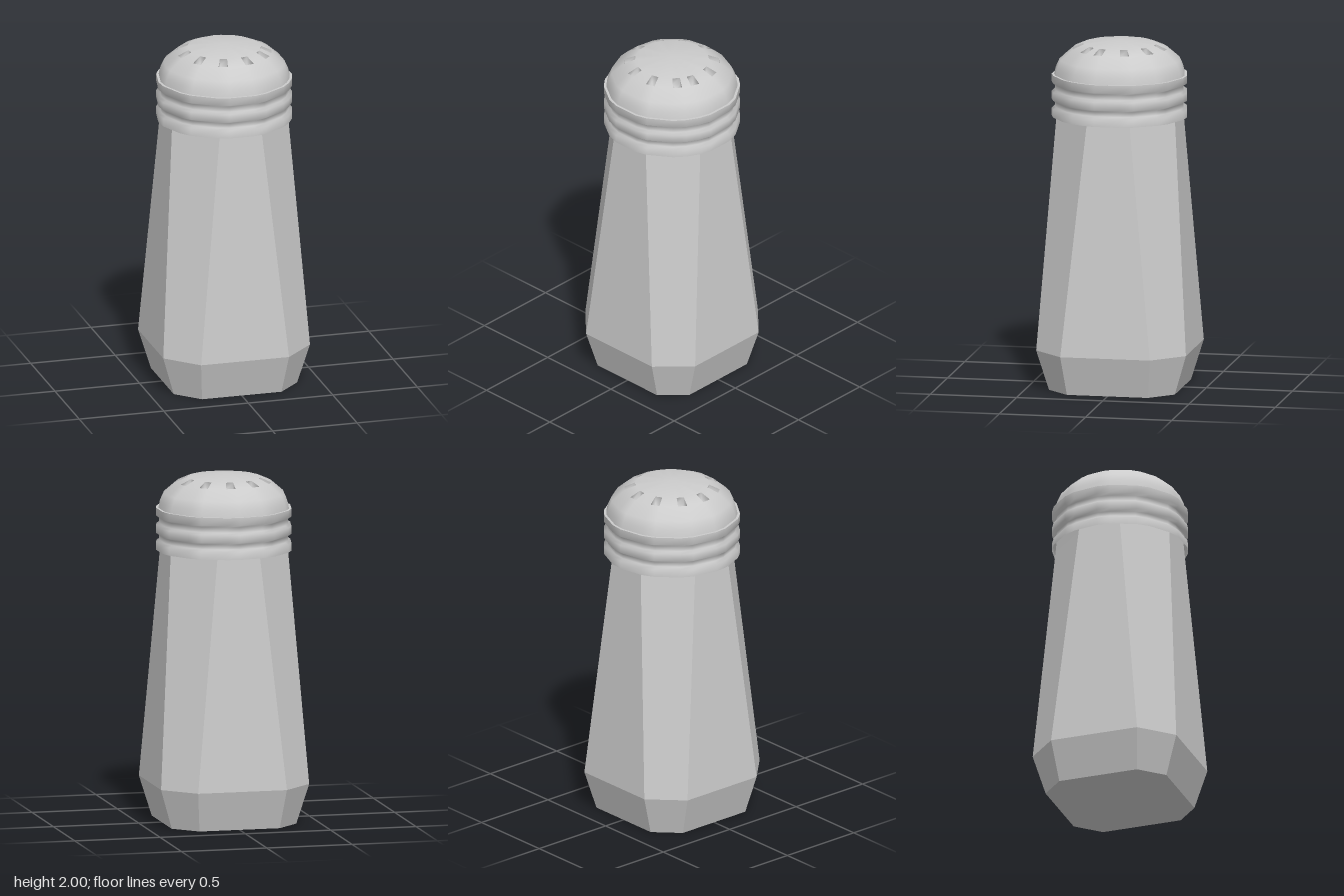
import * as THREE from 'three';
import { mergeVertices } from 'three/addons/utils/BufferGeometryUtils.js';

// Joins successive closed cross-sections (arrays of Vector3) with faces; skip(i, j) leaves a cell open
function loft(rings, smooth, skip = () => false) {
  const pos = [];
  const tri = (a, b, c) => {
    const area = b.clone().sub(a).cross(c.clone().sub(a)).length();
    if (area > 1e-8) for (const p of [a, b, c]) pos.push(p.x, p.y, p.z);
  };
  for (let i = 0; i < rings.length - 1; i++) {
    const n = rings[i].length;
    for (let j = 0; j < n; j++) {
      if (skip(i, j)) continue;
      const k = (j + 1) % n;
      tri(rings[i][j], rings[i][k], rings[i + 1][k]);
      tri(rings[i][j], rings[i + 1][k], rings[i + 1][j]);
    }
  }
  let geo = new THREE.BufferGeometry();
  geo.setAttribute('position', new THREE.Float32BufferAttribute(pos, 3));
  if (smooth) geo = mergeVertices(geo, 1e-4);
  geo.computeVertexNormals();
  return geo;
}

// Point on a circle, counted in 32nds of a turn
const polar = (k, r, y) => {
  const a = (k * Math.PI) / 16;
  return new THREE.Vector3(r * Math.cos(a), y, -r * Math.sin(a));
};

// Square with cut corners: h = half width, c = half length of the straight side
const octagon = ([h, c, y]) =>
  [[h, -c], [h, c], [c, h], [-c, h], [-h, c], [-h, -c], [-c, -h], [c, -h]]
    .map(([x, z]) => new THREE.Vector3(x, y, -z));

export function createModel() {
  const model = new THREE.Group();
  const add = (name, geo, options = {}, parent = model) => {
    const mesh = new THREE.Mesh(geo, new THREE.MeshStandardMaterial({ color: 0xcccccc, ...options }));
    mesh.name = name;
    parent.add(mesh);
    return mesh;
  };

  // Faceted tapering body, its neck reaching up inside the cap
  const body = [[0, 0, 0], [0.365, 0.235, 0], [0.434, 0.26, 0.23], [0.344, 0.125, 1.56],
    [0.335, 0.111, 1.7], [0, 0, 1.7]];
  add('body', loft(body.map(octagon), false), { flatShading: true });

  // Cap outline: eleven pairs of corners, one pair for each hole
  const steps = [];
  for (let i = 0; i < 11; i++) {
    const k = i < 10 ? 1 + 3 * i : 30;
    steps.push(k, k + 1);
  }
  const ring = ([r, y]) => steps.map((k) => polar(k, r, y));

  // Ribbed band with three raised rings
  const band = [];
  for (const y of [1.56, 1.657, 1.757]) {
    if (y > 1.56) band.push([0.369, y - 0.012]);
    band.push([0.388, y], [0.388, y + 0.045]);
    if (y < 1.75) band.push([0.369, y + 0.057]);
  }
  add('capBand', loft(band.map(ring), true), { side: THREE.DoubleSide });
  add('capRim', loft([[0.388, 1.802], [0.372, 1.802]].map(ring), false));

  // Dome, left open where the holes are
  const dome = [[0.374, 1.802], [0.366, 1.84], [0.345, 1.887], [0.272, 1.95], [0.21, 1.977], [0, 2]];
  const isHole = (i, j) => i === 3 && j % 2 === 0;
  add('capDome', loft(dome.map(ring), true, isHole), { side: THREE.DoubleSide });

  // Shallow pits forming the holes
  const holes = new THREE.Group();
  holes.name = 'holes';
  model.add(holes);
  for (let j = 0; j < steps.length; j += 2) {
    const [a, b] = [steps[j], steps[j + 1]];
    const mouth = [polar(a, 0.272, 1.95), polar(b, 0.272, 1.95), polar(b, 0.21, 1.977), polar(a, 0.21, 1.977)];
    const floor = mouth.map((p) => p.clone().setY(p.y - 0.04));
    const centre = floor.map(() => polar((a + b) / 2, 0.24, 1.92));
    add('hole', loft([mouth, floor, centre], true), {}, holes);
  }
  return model;
}
